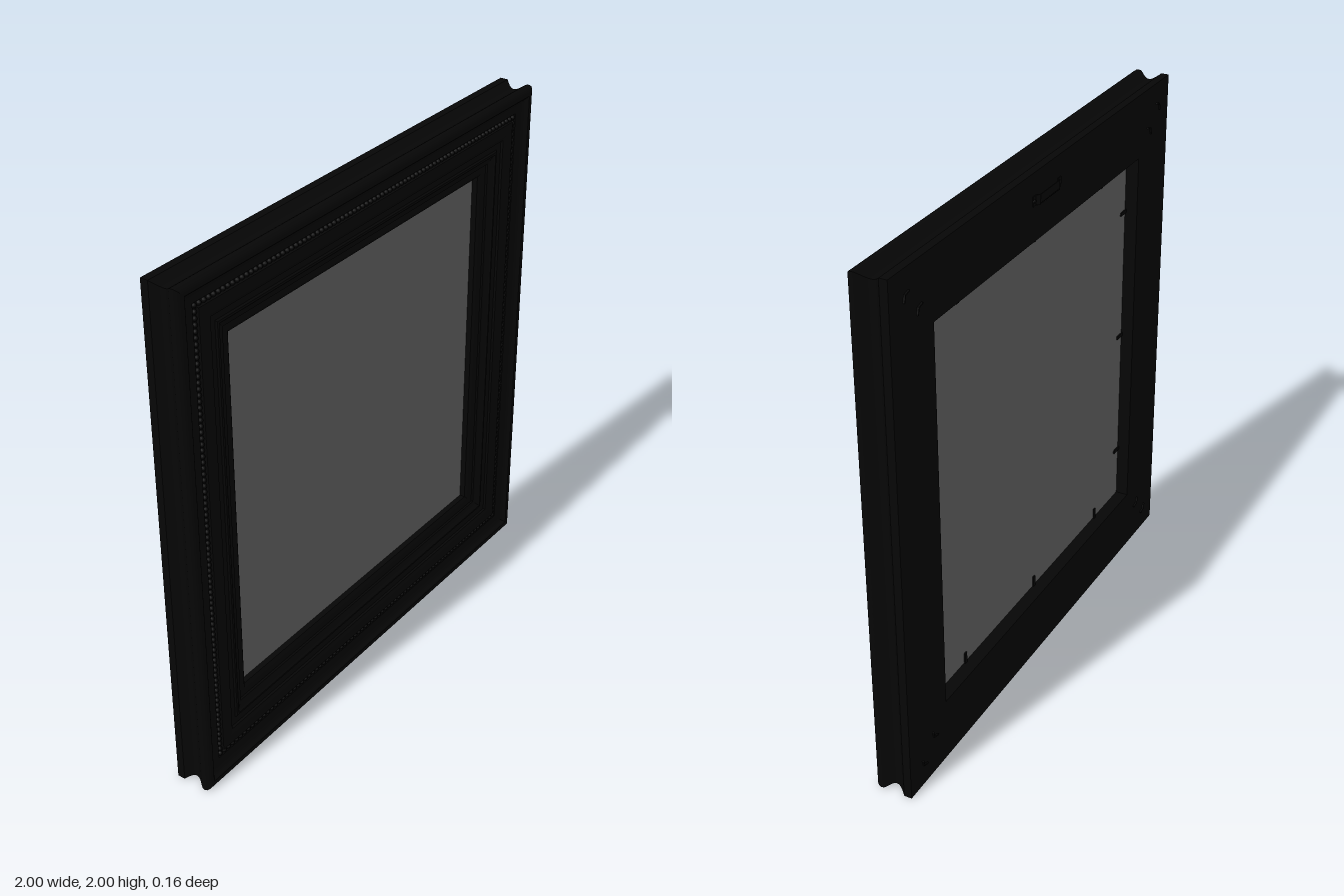
import * as THREE from 'three';
import { mergeGeometries, toCreasedNormals } from 'three/addons/utils/BufferGeometryUtils.js';

const BACK = -0.066;   // rear face of the moulding
const REBATE = 0.25;   // inset of the rear opening
const PANEL_BACK = -0.016;

// Moulding cross-section: [inset from outer edge, z], outer back -> front -> lip -> rebate
function mouldingProfile() {
  const p = [[0, BACK], [0, -0.036]];
  // scooped groove along the outer edge
  for (let i = 1; i < 10; i++) {
    const t = i / 10;
    p.push([0.022 * Math.sin(Math.PI * t), -0.036 + 0.082 * t]);
  }
  p.push([0.001, 0.048], [0, 0.058], [0.002, 0.068], [0.008, 0.076], [0.018, 0.08], [0.03, 0.079]);
  // cove falling towards the bead channel
  for (let i = 0; i <= 6; i++) {
    const a = (i / 6) * Math.PI / 2;
    p.push([0.036 + 0.05 * (1 - Math.cos(a)), 0.074 - 0.018 * Math.sin(a)]);
  }
  p.push([0.088, 0.05], [0.108, 0.05], [0.11, 0.06]);
  // shallow cushion
  for (let i = 1; i <= 6; i++) {
    const t = i / 6;
    p.push([0.11 + 0.055 * t, 0.06 + 0.006 * Math.sin(Math.PI * t) - 0.004 * t]);
  }
  // steps down to the sight edge
  p.push([0.168, 0.048], [0.195, 0.046], [0.2, 0.052], [0.208, 0.053], [0.214, 0.046],
    [0.238, 0.038], [0.242, 0.032], [0.262, 0.03], [0.272, 0.028], [0.28, 0.022],
    [0.28, 0], [REBATE, 0], [REBATE, BACK], [0, BACK]);
  return p;
}

// One mitred rail, drawn as the bottom side around the frame's centre
function railGeometry() {
  const profile = mouldingProfile();
  const pos = [];
  for (let i = 0; i < profile.length - 1; i++) {
    const [d0, z0] = profile[i], [d1, z1] = profile[i + 1];
    const aL = [d0 - 1, d0 - 1, z0], aR = [1 - d0, d0 - 1, z0];
    const bL = [d1 - 1, d1 - 1, z1], bR = [1 - d1, d1 - 1, z1];
    pos.push(...aL, ...aR, ...bR, ...aL, ...bR, ...bL);
  }
  const g = new THREE.BufferGeometry();
  g.setAttribute('position', new THREE.Float32BufferAttribute(pos, 3));
  return toCreasedNormals(g, 0.6);
}

// Row of small beads lying in the channel of one rail
function beadRowGeometry() {
  const count = 80, inset = 0.098, span = 2 * (1 - inset);
  const beads = [];
  for (let i = 0; i < count; i++) {
    const g = new THREE.SphereGeometry(0.0095, 8, 6);
    g.translate(-span / 2 + (span * i) / count, inset - 1, 0.051);
    beads.push(g);
  }
  return mergeGeometries(beads);
}

// Bent metal points holding the panel against the rebate
function retainerGeometry() {
  const points = [];
  for (const x of [-0.53, 0, 0.53]) {
    const tab = new THREE.BoxGeometry(0.014, 0.05, 0.005);
    tab.translate(x, REBATE - 1 + 0.02, PANEL_BACK - 0.004);
    points.push(tab);
  }
  return mergeGeometries(points);
}

// V-shaped nails across the mitre at one corner
function mitreNailGeometry() {
  const parts = [];
  for (const d of [0.09, 0.163]) {
    for (const side of [-1, 1]) {
      const leg = new THREE.BoxGeometry(0.026, 0.005, 0.01);
      leg.translate(0.012, 0, 0);
      leg.rotateZ(Math.PI / 4 + side * (Math.PI / 3));
      leg.translate(d - 1 - 0.004, d - 1 - 0.004, BACK - 0.001);
      parts.push(leg);
    }
  }
  return mergeGeometries(parts);
}

// Bent strip hanger with a toothed lower edge
function hangerGroup(material) {
  const group = new THREE.Group();
  group.name = 'hanger';
  const t = 0.003;
  const plate = (name, w, x, z, tilt) => {
    const m = new THREE.Mesh(new THREE.BoxGeometry(w, 0.036, t), material);
    m.position.set(x, 0, z);
    m.rotation.y = tilt;
    m.name = name;
    group.add(m);
  };
  for (const s of [-1, 1]) {
    plate('hangerFoot', 0.022, s * 0.091, BACK - t / 2, 0);
    plate('hangerBend', 0.017, s * 0.0755, -0.0725, s * -0.72);
    const nail = new THREE.Mesh(new THREE.CylinderGeometry(0.007, 0.007, 0.004, 12), material);
    nail.rotation.x = Math.PI / 2;
    nail.position.set(s * 0.093, 0, BACK - t - 0.001);
    nail.name = 'hangerNail';
    group.add(nail);
  }
  const shape = new THREE.Shape();
  const teeth = 14, w = 0.14;
  shape.moveTo(-w / 2, 0.018);
  for (let i = 0; i <= teeth; i++) {
    const x = -w / 2 + (w * i) / teeth;
    shape.lineTo(x, -0.018);
    if (i < teeth) shape.lineTo(x + w / teeth / 2, -0.01);
  }
  shape.lineTo(w / 2, 0.018);
  const strip = new THREE.Mesh(new THREE.ExtrudeGeometry(shape, { depth: t, bevelEnabled: false }), material);
  strip.position.z = -0.08;
  strip.name = 'hangerStrip';
  group.add(strip);
  group.position.y = 0.9;
  return group;
}

export function createModel() {
  const model = new THREE.Group();
  model.name = 'pictureFrame';
  const black = new THREE.MeshStandardMaterial({ color: 0x060606 });
  const grey = new THREE.MeshStandardMaterial({ color: 0x808080 });

  // Four identical sides turned about the centre
  const parts = {
    frameRail: railGeometry(),
    beading: beadRowGeometry(),
    panelRetainers: retainerGeometry(),
    mitreNails: mitreNailGeometry(),
  };
  for (let k = 0; k < 4; k++) {
    const side = new THREE.Group();
    side.name = ['bottomSide', 'leftSide', 'topSide', 'rightSide'][k];
    for (const [name, geometry] of Object.entries(parts)) {
      const mesh = new THREE.Mesh(geometry, black);
      mesh.name = name;
      side.add(mesh);
    }
    side.rotation.z = (k * Math.PI) / 2;
    side.position.y = 1;
    model.add(side);
  }

  // Panel resting in the rebate
  const size = 2 * (1 - REBATE);
  const panel = new THREE.Mesh(new THREE.BoxGeometry(size, size, 0.015), grey);
  panel.position.set(0, 1, PANEL_BACK + 0.0075);
  panel.name = 'picturePanel';
  model.add(panel);

  const hanger = hangerGroup(black);
  hanger.position.y += 1;
  model.add(hanger);
  return model;
}
